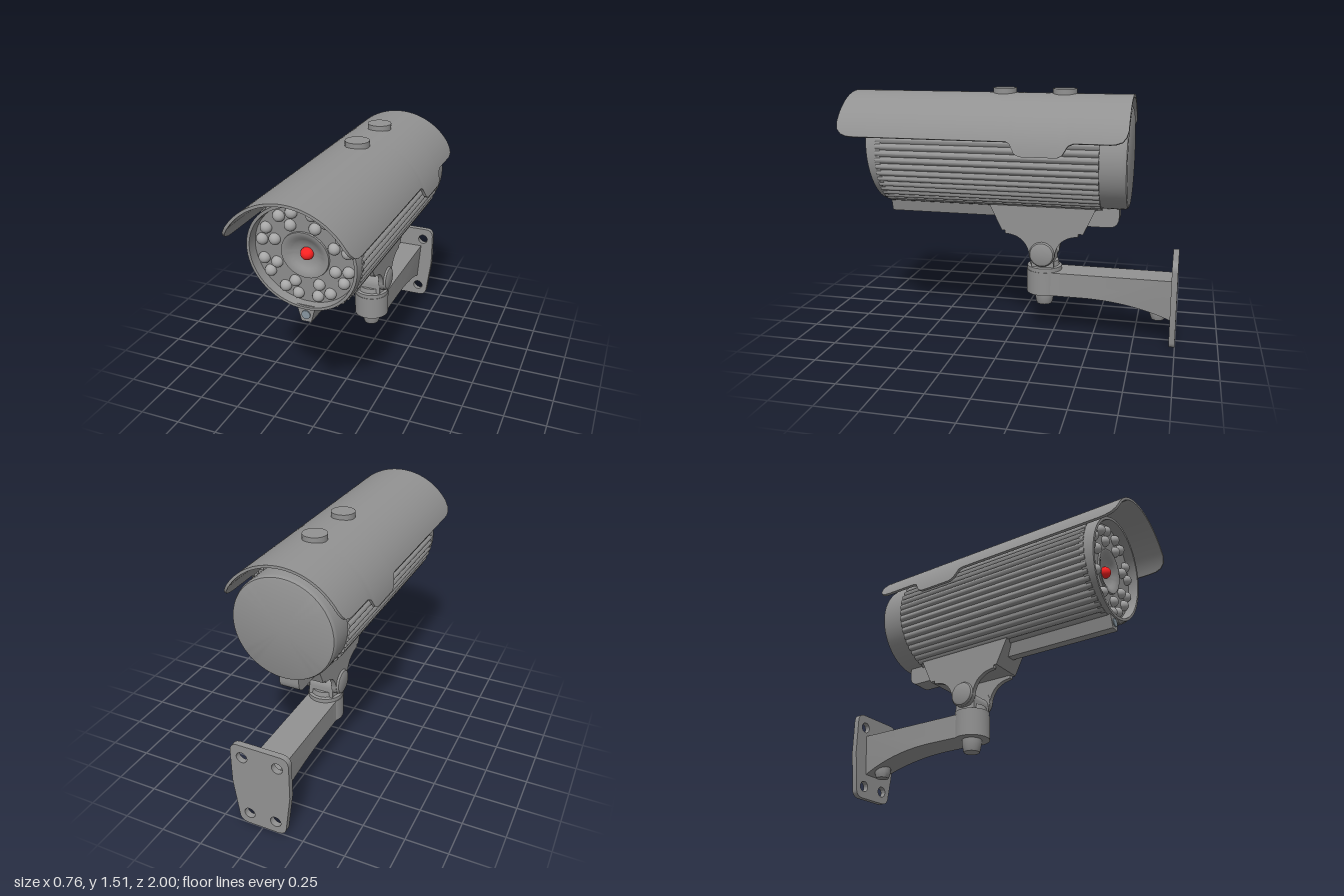
import * as THREE from 'three';
import { toCreasedNormals } from 'three/addons/utils/BufferGeometryUtils.js';

const CY = 1.114;       // height of the housing axis
const PIVOT_Y = 0.522;  // height of the tilt pivot
const PIVOT_Z = -0.191; // vertical axis of the swivel joint

export function createModel() {
  const model = new THREE.Group();
  const grey = new THREE.MeshStandardMaterial({ color: 0x929292 });
  const lampGrey = new THREE.MeshStandardMaterial({ color: 0xa6a6a6 });
  const steel = new THREE.MeshStandardMaterial({ color: 0x8795a0 });
  const red = new THREE.MeshStandardMaterial({ color: 0xff2222 });

  const add = (name, geometry, x = 0, y = 0, z = 0, material = grey) => {
    const mesh = new THREE.Mesh(geometry, material);
    mesh.name = name;
    mesh.position.set(x, y, z);
    model.add(mesh);
    return mesh;
  };
  const crease = (g, angle = 0.6) => toCreasedNormals(g, angle);
  const lathe = (pts, segments = 48) =>
    new THREE.LatheGeometry(pts.map(([r, h]) => new THREE.Vector2(r, h)), segments);
  const extrude = (shape, depth) =>
    new THREE.ExtrudeGeometry(shape, { depth, bevelEnabled: false, curveSegments: 20 });
  // Side outline drawn as (-z, y), extruded along x and centred
  const sideExtrude = (shape, width) =>
    extrude(shape, width).rotateY(Math.PI / 2).translate(-width / 2, 0, 0);
  const polygon = (pts) => new THREE.Shape(pts.map(([a, b]) => new THREE.Vector2(a, b)));

  // Ribbed housing, a tube open at the front for the recessed face
  const ribs = 48, steps = 8, outline = [];
  for (let i = 0; i < ribs * steps; i++) {
    const a = (i / (ribs * steps)) * Math.PI * 2;
    const r = 0.305 + 0.013 * Math.abs(Math.sin((a * ribs) / 2));
    outline.push([r * Math.cos(a), r * Math.sin(a)]);
  }
  const tube = polygon(outline);
  tube.holes.push(new THREE.Path().absarc(0, 0, 0.295, 0, Math.PI * 2, true));
  add('ribbedHousing', crease(extrude(tube, 1.315), 0.7), 0, CY, -0.545);

  // Rear cap with a rounded edge
  add('rearCap', crease(lathe([[0, 0.7], [0.285, 0.7], [0.297, 0.695], [0.303, 0.683], [0.305, 0.67],
    [0.305, 0.54]].map(([r, h]) => [r, -h]), 64).rotateX(Math.PI / 2)), 0, CY, 0);

  // Slanted front rim, recessed face plate and dished lens well
  const slant = 0.1;
  const face = lathe([[0.311, 0.74], [0.311, 0.77], [0.306, 0.825], [0.29, 0.825], [0.286, 0.768], [0.135, 0.768],
    [0.133, 0.778], [0.122, 0.778], [0.1, 0.768], [0.085, 0.758], [0.075, 0.752], [0.05, 0.742],
    [0, 0.738]], 64).rotateX(Math.PI / 2);
  const fp = face.attributes.position;
  for (let i = 0; i < fp.count; i++) {
    if (Math.hypot(fp.getX(i), fp.getY(i)) < 0.309) fp.setZ(i, fp.getZ(i) + slant * fp.getY(i));
  }
  add('frontFace', crease(face, 0.5), 0, CY, 0);
  add('redLens', new THREE.SphereGeometry(0.035, 24, 16), 0, CY, 0.748, red);

  // Eight clusters of three lamps
  const lamp = new THREE.SphereGeometry(0.032, 20, 14);
  for (let k = 0; k < 8; k++) {
    const mid = Math.PI / 8 + (k * Math.PI) / 4;
    for (const [r, offset] of [[0.178, 0], [0.244, 0.16], [0.244, -0.16]]) {
      const x = r * Math.cos(mid + offset), y = r * Math.sin(mid + offset);
      add('lamp', lamp, x, CY + y, 0.772 + slant * y, lampGrey);
    }
  }

  // Sunshield: arc sections whose lower edge follows [z, edge height]
  const sections = [[1, 1.31], [0.99, 1.275], [0.965, 1.25], [0.93, 1.238], [0.89, 1.235], [-0.03, 1.235],
    [-0.05, 1.225], [-0.08, 1.17], [-0.11, 1.155], [-0.32, 1.155], [-0.35, 1.17], [-0.38, 1.222],
    [-0.41, 1.235], [-0.61, 1.235], [-0.64, 1.238], [-0.675, 1.25], [-0.695, 1.275], [-0.705, 1.31]];
  const N = 48, M = 2 * N + 2, centreY = 1.095, outer = 0.385, inner = 0.37;
  const pos = [], idx = [];
  for (const [z, edge] of sections) {
    const half = Math.acos((edge - centreY) / outer);
    for (let j = 0; j < M; j++) {
      const onOuter = j <= N;
      const t = (onOuter ? j : M - 1 - j) / N;
      const a = half * (2 * t - 1), r = onOuter ? outer : inner;
      pos.push(r * Math.sin(a), centreY + r * Math.cos(a), z);
    }
  }
  for (let k = 0; k < sections.length - 1; k++) {
    for (let j = 0; j < M; j++) {
      const a = k * M + j, b = k * M + ((j + 1) % M);
      idx.push(a, b, b + M, a, b + M, a + M);
    }
  }
  const last = (sections.length - 1) * M;
  for (let j = 0; j < N; j++) {
    const o = j, o2 = j + 1, i = M - 1 - j, i2 = M - 2 - j;
    idx.push(o, i, i2, o, i2, o2);
    idx.push(last + o, last + i2, last + i, last + o, last + o2, last + i2);
  }
  const shield = new THREE.BufferGeometry();
  shield.setAttribute('position', new THREE.Float32BufferAttribute(pos, 3));
  shield.setIndex(idx);
  add('sunshield', crease(shield));
  for (const z of [-0.303, 0.058]) {
    add('shieldScrew', new THREE.CylinderGeometry(0.071, 0.071, 0.09, 32), 0, 1.463, z);
  }

  // Rail under the housing, with its end screw
  add('bottomRail', extrude(polygon([[-0.028, 0.73], [0.028, 0.73], [0.055, 0.83], [-0.055, 0.83]]), 0.755), 0, 0, 0.03);
  add('railScrew', new THREE.CylinderGeometry(0.025, 0.025, 0.02, 20).rotateX(Math.PI / 2), 0, 0.773, 0.781, steel);

  // Rounded block behind the bracket
  const block = new THREE.Shape();
  block.moveTo(0.4, 0.84);
  block.lineTo(0.4, 0.7);
  block.lineTo(0.58, 0.7);
  block.quadraticCurveTo(0.645, 0.7, 0.645, 0.765);
  block.lineTo(0.645, 0.84);
  add('rearBlock', crease(sideExtrude(block, 0.12)));

  // Saddle bracket
  add('saddleBracket', sideExtrude(polygon([[-0.15, 0.855], [-0.055, 0.66], [0.44, 0.66], [0.53, 0.855]]), 0.214));

  // Fork ears flaring down to the tilt pivot
  const ear = new THREE.Shape();
  ear.moveTo(-0.035, 0.665);
  ear.lineTo(-0.035, 0.642);
  ear.quadraticCurveTo(0.09, 0.635, 0.113, PIVOT_Y);
  ear.absarc(-PIVOT_Z, PIVOT_Y, 0.078, Math.PI, Math.PI * 2, false);
  ear.quadraticCurveTo(0.29, 0.635, 0.41, 0.642);
  ear.lineTo(0.41, 0.665);
  const earGeometry = crease(sideExtrude(ear, 0.03));
  const knob = crease(lathe([[0, -0.025], [0.077, -0.025], [0.077, 0.008], [0.07, 0.019], [0.055, 0.025], [0, 0.025]], 32));
  for (const side of [1, -1]) {
    add('forkEar', earGeometry, side * 0.092);
    add('pivotKnob', knob, side * 0.1, PIVOT_Y, PIVOT_Z).rotation.z = -side * Math.PI / 2;
  }

  // Knuckle between the ears
  const knuckle = new THREE.Shape();
  knuckle.moveTo(-0.07, -0.1);
  knuckle.lineTo(0.07, -0.1);
  knuckle.lineTo(0.065, -0.038);
  knuckle.absarc(0, -0.038, 0.065, 0, Math.PI, false);
  add('knuckle', crease(sideExtrude(knuckle, 0.156)), 0, PIVOT_Y, PIVOT_Z);

  // Swivel collar, barrel and nut
  add('swivelBarrel', crease(lathe([[0, 0.26], [0.109, 0.26], [0.109, 0.405], [0.106, 0.405], [0.106, 0.43],
    [0.09, 0.435], [0.085, 0.465], [0, 0.465]])), 0, 0, PIVOT_Z);
  const nut = (r, low, high) =>
    crease(lathe([[0, low], [r * 0.78, low], [r * 0.86, low + 0.012], [r, high - 0.01], [r, high + 0.03], [0, high + 0.03]], 28));
  add('swivelNut', nut(0.06, 0.183, 0.25), 0, 0, PIVOT_Z);
  add('armNut', nut(0.05, 0.135, 0.18), 0, 0, -0.89);

  // Wall arm, deeper and narrower below towards the plate
  const arm = new THREE.Shape();
  arm.moveTo(0.19, 0.405);
  arm.lineTo(0.19, 0.26);
  arm.lineTo(0.45, 0.26);
  arm.quadraticCurveTo(0.74, 0.255, 0.97, 0.152);
  arm.lineTo(0.97, 0.405);
  const armGeometry = sideExtrude(arm, 0.19);
  const ap = armGeometry.attributes.position;
  for (let i = 0; i < ap.count; i++) {
    const drop = Math.max(0, 0.26 - ap.getY(i)) / 0.108;
    ap.setX(i, ap.getX(i) * (1 - 0.22 * drop));
  }
  add('wallArm', crease(armGeometry));

  // Wall plate with four screw holes
  const plate = new THREE.Shape();
  plate.moveTo(-0.09, 0);
  plate.lineTo(0.09, 0);
  plate.quadraticCurveTo(0.14, 0, 0.147, 0.045);
  plate.lineTo(0.178, 0.28);
  plate.lineTo(0.178, 0.485);
  plate.quadraticCurveTo(0.178, 0.54, 0.125, 0.54);
  plate.lineTo(-0.125, 0.54);
  plate.quadraticCurveTo(-0.178, 0.54, -0.178, 0.485);
  plate.lineTo(-0.178, 0.28);
  plate.lineTo(-0.147, 0.045);
  plate.quadraticCurveTo(-0.14, 0, -0.09, 0);
  for (const [x, y] of [[0.082, 0.075], [-0.082, 0.075], [0.108, 0.46], [-0.108, 0.46]]) {
    plate.holes.push(new THREE.Path().absarc(x, y, 0.033, 0, Math.PI * 2, true));
  }
  add('wallPlate', crease(extrude(plate, 0.035)), 0, 0, -1);

  return model;
}
